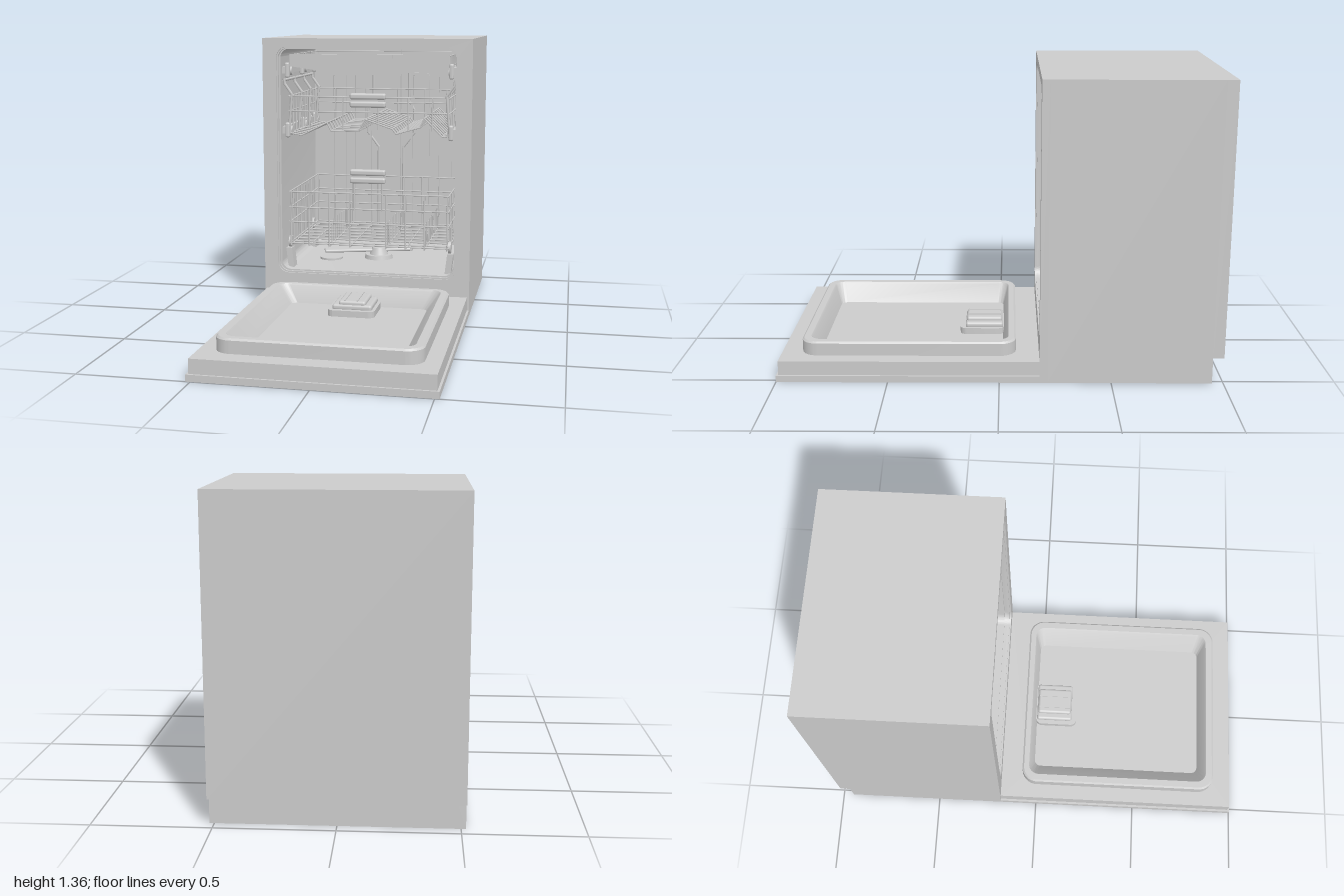
import * as THREE from 'three';
import { mergeGeometries, toCreasedNormals } from 'three/addons/utils/BufferGeometryUtils.js';
import { RoundedBoxGeometry } from 'three/addons/geometries/RoundedBoxGeometry.js';

const V = (x, y, z) => new THREE.Vector3(x, y, z);

export function createModel() {
  const root = new THREE.Group();
  const mat = new THREE.MeshStandardMaterial({ color: 0xcccccc, side: THREE.DoubleSide });

  function add(name, geo, x = 0, y = 0, z = 0) {
    const m = new THREE.Mesh(geo, mat);
    m.name = name;
    m.position.set(x, y, z);
    root.add(m);
    return m;
  }
  // box given by its limits
  const box = (name, x0, x1, y0, y1, z0, z1) =>
    add(name, new THREE.BoxGeometry(x1 - x0, y1 - y0, z1 - z0), (x0 + x1) / 2, (y0 + y1) / 2, (z0 + z1) / 2);
  const soft = (name, w, h, d, r, x, y, z) => add(name, new RoundedBoxGeometry(w, h, d, 3, r), x, y, z);

  // rounded rectangle, counter-clockwise
  function roundRect(x0, x1, y0, y1, r) {
    const s = new THREE.Shape();
    s.absarc(x1 - r, y0 + r, r, -Math.PI / 2, 0);
    s.absarc(x1 - r, y1 - r, r, 0, Math.PI / 2);
    s.absarc(x0 + r, y1 - r, r, Math.PI / 2, Math.PI);
    s.absarc(x0 + r, y0 + r, r, Math.PI, Math.PI * 1.5);
    return s;
  }
  const rect = (x0, x1, y0, y1) => new THREE.Shape(
    [[x0, y0], [x1, y0], [x1, y1], [x0, y1]].map(p => new THREE.Vector2(...p)));
  function extrude(shape, depth, hole) {
    if (hole) shape.holes.push(hole);
    return toCreasedNormals(new THREE.ExtrudeGeometry(shape, { depth, bevelEnabled: false, curveSegments: 8 }), 0.5);
  }
  // skin through rounded rectangles lying flat: [y, x half width, z0, z1, radius]
  function loft(rows) {
    const loops = rows.map(([y, w, z0, z1, r]) =>
      roundRect(-w, w, -z1, -z0, r).getPoints(8).map(p => V(p.x, y, -p.y)));
    const n = loops[0].length, pos = [];
    for (let k = 0; k + 1 < loops.length; k++) for (let i = 0; i < n; i++) {
      const j = (i + 1) % n, a = loops[k], b = loops[k + 1];
      for (const p of [a[i], a[j], b[j], a[i], b[j], b[i]]) pos.push(p.x, p.y, p.z);
    }
    const g = new THREE.BufferGeometry();
    g.setAttribute('position', new THREE.Float32BufferAttribute(pos, 3));
    return toCreasedNormals(g, 0.5);
  }
  // many straight wires merged in one mesh; each path is a list of points
  function wires(name, paths, r = 0.004) {
    const parts = [];
    for (const path of paths) for (let i = 0; i + 1 < path.length; i++) {
      const d = path[i + 1].clone().sub(path[i]);
      const g = new THREE.CylinderGeometry(r, r, d.length() + r, 6);
      g.applyQuaternion(new THREE.Quaternion().setFromUnitVectors(V(0, 1, 0), d.clone().normalize()));
      const c = path[i].clone().add(path[i + 1]).multiplyScalar(0.5);
      parts.push(g.translate(c.x, c.y, c.z));
    }
    return add(name, mergeGeometries(parts));
  }
  const ring = (w, y, z0, z1) => [V(-w, y, z0), V(w, y, z0), V(w, y, z1), V(-w, y, z1), V(-w, y, z0)];
  const range = (a, b, n) => Array.from({ length: n }, (_, i) => a + (b - a) * i / (n - 1));

  // cabinet: hollow shell, stepped front lip, back panel above the rear notch
  add('cabinetShell', extrude(rect(-0.52, 0.52, 0, 1.36), 0.735, roundRect(-0.438, 0.438, 0.19, 1.307, 0.045)), 0, 0, -0.95);
  add('frontFrame', extrude(rect(-0.52, 0.52, 0, 1.36), 0.035, roundRect(-0.45, 0.45, 0.18, 1.318, 0.055)), 0, 0, -0.215);
  box('backPanel', -0.52, 0.52, 0.12, 1.36, -1, -0.95);
  add('doorSeal', extrude(roundRect(-0.45, 0.45, 0.18, 1.318, 0.055), 0.012, roundRect(-0.443, 0.443, 0.187, 1.311, 0.05)), 0, 0, -0.2);

  // embossed ribs on the tub back wall
  for (const s of [-1, 1]) {
    for (const [a, b] of [[0.255, 0.34], [0.11, 0.215]]) {
      const rib = extrude(roundRect(a, b, 0.22, 1.155, 0.02), 0.012, roundRect(a + 0.012, b - 0.012, 0.232, 1.143, 0.012));
      add('wallRib', rib, s < 0 ? -(a + b) : 0, 0, -0.95);
    }
    wires('wallContour', [[[0.07, 0.3], [0.07, 0.74], [0.13, 0.82], [0.13, 0.95], [0.1, 1.0], [0.1, 1.17]].map(([x, y]) => V(s * x, y, -0.945))], 0.007);
  }
  box('waterDuct', -0.055, 0.055, 0.25, 1.305, -0.95, -0.925);

  // open door with raised rim and sloping recess
  box('doorFrontPanel', -0.52, 0.52, 0, 0.03, -0.18, 1);
  box('doorBody', -0.51, 0.51, 0.03, 0.07, -0.18, 0.99);
  const deck = extrude(rect(-0.51, 0.51, -0.99, 0.18), 0.025, roundRect(-0.42, 0.42, -0.88, 0.055, 0.06));
  add('doorDeck', deck.rotateX(-Math.PI / 2), 0, 0.07, 0);
  add('doorRim', loft([
    [0.07, 0.44, -0.075, 0.9, 0.075], [0.152, 0.44, -0.075, 0.9, 0.075], [0.16, 0.432, -0.067, 0.892, 0.068],
    [0.16, 0.402, -0.042, 0.862, 0.05], [0.152, 0.395, -0.037, 0.855, 0.045], [0.07, 0.335, -0.015, 0.825, 0.03]]));

  // detergent dispenser
  const base = extrude(roundRect(-0.115, 0.11, -0.19, 0.02, 0.03), 0.03);
  add('dispenserBase', base.rotateX(-Math.PI / 2), 0, 0.07, 0);
  soft('dispenserLid', 0.19, 0.03, 0.18, 0.012, 0, 0.108, 0.075);
  soft('dispenserCap', 0.13, 0.03, 0.17, 0.012, 0, 0.125, 0.075);
  for (const x of [-0.035, 0.025]) box('dispenserRidge', x - 0.003, x + 0.003, 0.138, 0.144, -0.005, 0.155);

  // hinge plates
  const hinge = new THREE.Shape();
  hinge.moveTo(0, 0); hinge.lineTo(0.075, 0);
  hinge.absellipse(0, 0, 0.075, 0.08, 0, Math.PI / 2);
  for (const s of [-1, 1]) add('hinge', extrude(hinge, 0.01).rotateY(-Math.PI / 2), s * 0.495 + 0.005, 0.095, -0.18).scale.z = -1;
  for (const h of root.children.filter(c => c.name === 'hinge')) { h.scale.z = 1; h.rotation.y = Math.PI; h.position.x -= 0.01; }

  // lower rack
  const F = -0.25, B = -0.86;
  const low = [0.585, 0.505, 0.43, 0.32].map(y => ring(0.405, y, F, B));
  const xs = [-0.4, -0.305, -0.2, -0.095, 0.09, 0.19, 0.285, 0.4];
  for (const x of xs) low.push([V(x, 0.585, F), V(x, 0.31, F), V(x, 0.31, B), V(x, 0.585, B)]);
  for (const z of range(F - 0.07, B + 0.07, 7))
    low.push([V(-0.405, 0.585, z), V(-0.405, 0.315, z), V(0.405, 0.315, z), V(0.405, 0.585, z)]);
  wires('lowerRack', low);
  const tines = [];
  for (const x of [-0.2, 0.09, 0.285]) for (const z of range(F - 0.06, B + 0.06, 11)) tines.push([V(x, 0.31, z), V(x, 0.43, z)]);
  wires('plateTines', tines, 0.003);
  wires('lowerHandleWires', [-0.07, 0.07].map(x => [V(x, 0.5, F), V(x, 0.66, F)]));

  // rack feet and wheels
  for (const s of [-1, 1]) for (const z of [F - 0.04, B + 0.08]) {
    const foot = new THREE.BoxGeometry(0.03, 0.1, 0.06);
    const p = foot.attributes.position;
    for (let i = 0; i < p.count; i++) if (p.getY(i) < 0) p.setX(i, p.getX(i) - s * 0.012);
    foot.computeVertexNormals();
    add('rackFoot', foot, s * 0.415, 0.24, z);
    add('rackWheel', new THREE.CylinderGeometry(0.03, 0.03, 0.014, 20).rotateZ(Math.PI / 2), s * 0.41, 0.32, z);
  }

  // grip handles on both racks
  for (const [name, y] of [['upperRackHandle', 1.055], ['lowerRackHandle', 0.675]]) {
    soft(name + 'Top', 0.18, 0.03, 0.035, 0.01, 0, y + 0.02, -0.24);
    soft(name + 'Bottom', 0.18, 0.03, 0.035, 0.01, 0, y - 0.02, -0.24);
    box(name + 'Band', -0.085, 0.085, y - 0.008, y + 0.008, -0.25, -0.235);
  }

  // upper rack with stepped floor wires
  const profile = [[-0.4, 1.07], [-0.4, 0.885], [-0.34, 0.875], [-0.21, 0.94], [-0.19, 0.9], [-0.05, 0.9], [-0.015, 0.96],
    [0.12, 0.915], [0.14, 0.89], [0.26, 0.925], [0.28, 0.97], [0.37, 0.88], [0.4, 0.885], [0.4, 1.07]];
  const up = [1.07, 0.995].map(y => ring(0.405, y, F, B));
  for (const z of range(F, B, 11)) up.push(profile.map(([x, y]) => V(x, y, z)));
  for (const [x, y] of profile.slice(1, -1)) up.push([V(x, y, F), V(x, y, B)]);
  for (const x of [-0.3, -0.13, 0.05, 0.2, 0.32]) up.push([V(x, 1.07, F), V(x, 0.91, F)], [V(x, 1.07, B), V(x, 0.91, B)]);
  wires('upperRack', up);

  // side rails, rollers and rack brackets
  for (const s of [-1, 1]) {
    for (const y of [0.9, 1.2]) {
      box('sideRail', s * 0.427 - 0.01, s * 0.427 + 0.01, y - 0.018, y + 0.018, B, -0.24);
      for (const z of [-0.25, -0.55, -0.82]) {
        soft('railStop', 0.022, 0.075, 0.03, 0.008, s * 0.412, y, z);
        add('railRoller', new THREE.CylinderGeometry(0.022, 0.022, 0.02, 16).rotateZ(Math.PI / 2), s * 0.405, y - 0.005, z - 0.04);
      }
    }
    wires('rackBracket', [-0.25, -0.45, -0.65, -0.84].map(z =>
      [V(s * 0.43, 1.155, z), V(s * 0.425, 1.13, z), V(s * 0.39, 1.08, z), V(s * 0.405, 0.9, z)]), 0.007);
    wires('bracketRail', [[V(s * 0.43, 1.15, -0.25), V(s * 0.43, 1.15, -0.84)]], 0.007);
  }

  // top cutlery tray: sloping front and wire floor
  const front = new THREE.Shape();
  [[-0.4, 1.28], [-0.4, 1.22], [-0.12, 1.18], [0.12, 1.18], [0.4, 1.22], [0.4, 1.28]].forEach(([x, y], i) =>
    i ? front.lineTo(x, y) : front.moveTo(x, y));
  add('trayFront', extrude(front, 0.015), 0, 0, -0.26);
  box('trayGrip', -0.12, 0.12, 1.18, 1.28, -0.245, -0.235);
  const tray = [ring(0.4, 1.275, F, B)];
  for (const z of range(F, B, 14))
    tray.push([[-0.4, 1.275], [-0.4, 1.225], [-0.12, 1.185], [0.12, 1.185], [0.4, 1.225], [0.4, 1.275]].map(([x, y]) => V(x, y, z)));
  for (const x of range(-0.36, 0.36, 9)) {
    const y = 1.185 + Math.max(0, Math.abs(x) - 0.12) / 7;
    tray.push([V(x, y, F), V(x, y, B)]);
  }
  wires('cutleryTray', tray, 0.003);

  // spray arm, hub and filter on the tub floor
  add('sumpRing', new THREE.CylinderGeometry(0.07, 0.075, 0.022, 32), 0, 0.2, -0.56);
  add('sprayHub', new THREE.CylinderGeometry(0.035, 0.05, 0.04, 24), 0, 0.228, -0.56);
  soft('sprayArm', 0.47, 0.016, 0.06, 0.007, -0.055, 0.232, -0.56).rotation.y = 0.3;
  add('filter', new THREE.CylinderGeometry(0.06, 0.06, 0.012, 32), -0.245, 0.194, -0.5);

  return root;
}
